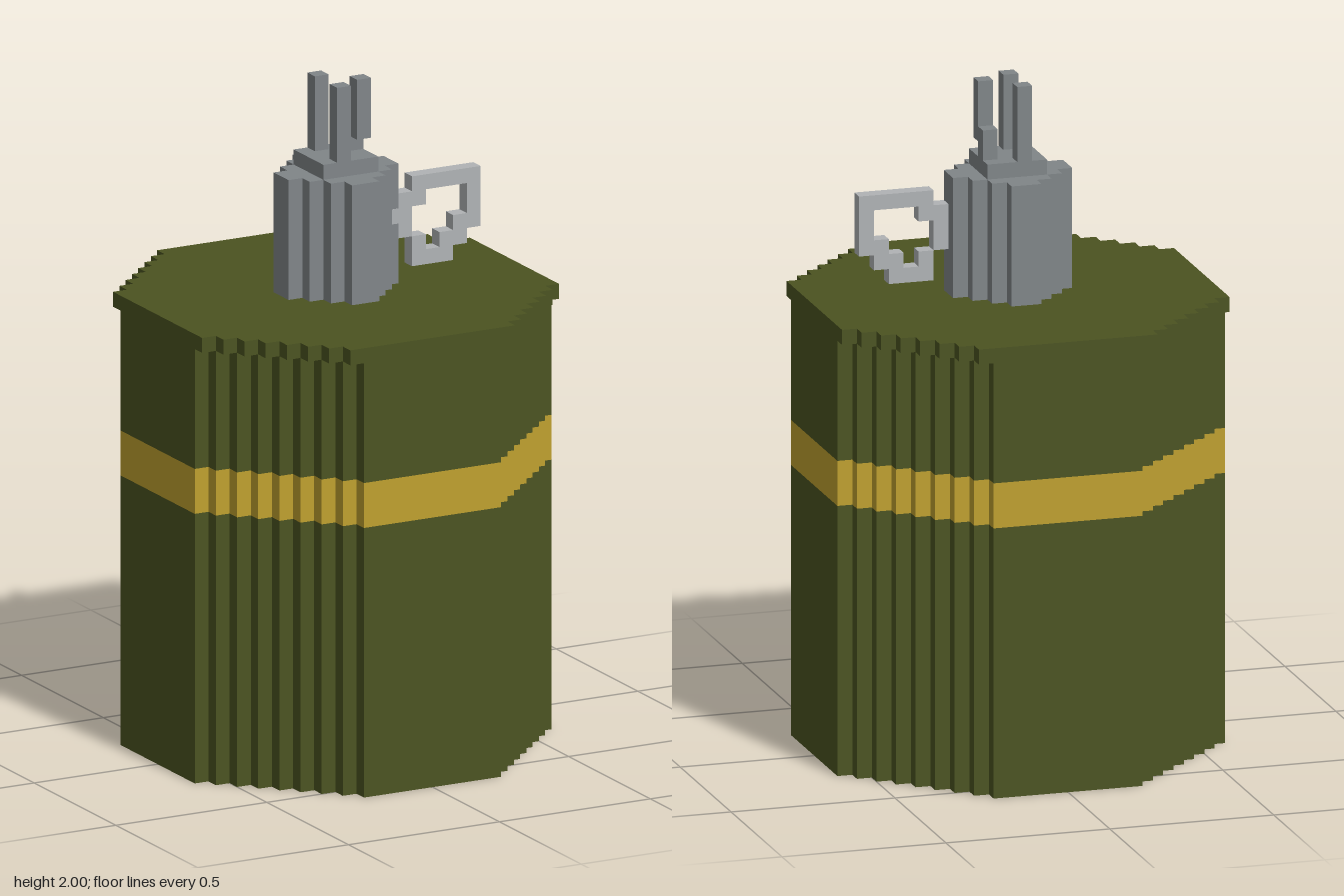
import * as THREE from 'three';

const U = 2 / 44; // size of one block

const paint = (name, color) => {
  const m = new THREE.MeshStandardMaterial({ color });
  m.name = name;
  return m;
};

// Stepped octagon outline: a flat of half-width `flat` at distance `r`, then single-block stairs
function steppedOctagon(r, flat) {
  const quarter = [];
  for (let i = 0; i <= r - flat; i++) {
    quarter.push([r - i, flat + i]);
    if (i < r - flat) quarter.push([r - i - 1, flat + i]);
  }
  const points = [];
  for (let q = 0; q < 4; q++) {
    const c = [1, 0, -1, 0][q], s = [0, 1, 0, -1][q];
    for (const [x, y] of quarter) points.push(new THREE.Vector2((x * c - y * s) * U, (x * s + y * c) * U));
  }
  return new THREE.Shape(points);
}

// Upright stepped prism from height y0 to y1, in blocks
function prism(name, r, flat, y0, y1, material) {
  const g = new THREE.ExtrudeGeometry(steppedOctagon(r, flat), { depth: (y1 - y0) * U, bevelEnabled: false });
  g.rotateX(-Math.PI / 2).translate(0, y0 * U, 0);
  const mesh = new THREE.Mesh(g, material);
  mesh.name = name;
  return mesh;
}

// Box from its lowest corner and its size, in blocks
function block(name, [x, y, z], [w, h, d], material) {
  const mesh = new THREE.Mesh(new THREE.BoxGeometry(w * U, h * U, d * U), material);
  mesh.position.set((x + w / 2) * U, (y + h / 2) * U, (z + d / 2) * U);
  mesh.name = name;
  return mesh;
}

export function createModel() {
  const olive = paint('olive', 0x4b5320);
  const gold = paint('gold', 0xbfa02e);
  const steel = paint('steel', 0x808588);
  const lightSteel = paint('lightSteel', 0xb0b3b5);
  const model = new THREE.Group();
  model.name = 'canister';

  // Body with a flush painted band and a slightly wider top rim
  model.add(
    prism('lowerBody', 13, 5, 0, 18, olive),
    prism('band', 13, 5, 18, 21, gold),
    prism('upperBody', 13, 5, 21, 29, olive),
    prism('topRim', 13, 6, 29, 30, olive)
  );

  // Neck and the plate on top of it
  model.add(
    prism('neck', 4, 1, 30, 38, steel),
    block('neckPlate', [-2, 38, -2], [4, 1, 4], steel)
  );

  // Prongs; the one at the front of the right pair hangs above a gap
  const prongs = new THREE.Group();
  prongs.name = 'prongs';
  prongs.add(
    block('backProng', [-1, 39, -2], [1, 5, 1], steel),
    block('frontProng', [-1, 39, 1], [1, 5, 1], steel),
    block('shortProng', [1, 39, -1], [1, 2, 1], steel),
    block('raisedProng', [1, 40, 0], [1, 4, 1], steel)
  );
  model.add(prongs);

  // Pull ring, one block thick: [x, y, width, height]
  const ring = new THREE.Group();
  ring.name = 'pullRing';
  const bars = [
    [4, 33, 1, 3], [5, 36, 5, 1], [5, 35, 1, 1], [9, 33, 1, 3],
    [8, 32, 1, 2], [7, 32, 1, 1], [5, 31, 3, 1], [5, 32, 1, 1]
  ];
  for (const [x, y, w, h] of bars) ring.add(block('ringBar', [x, y, 0], [w, h, 1], lightSteel));
  // Ring end set into the neck, a hair proud of its face
  ring.add(block('ringTab', [3, 34, 0.1], [1, 1, 0.93], lightSteel));
  model.add(ring);

  return model;
}
